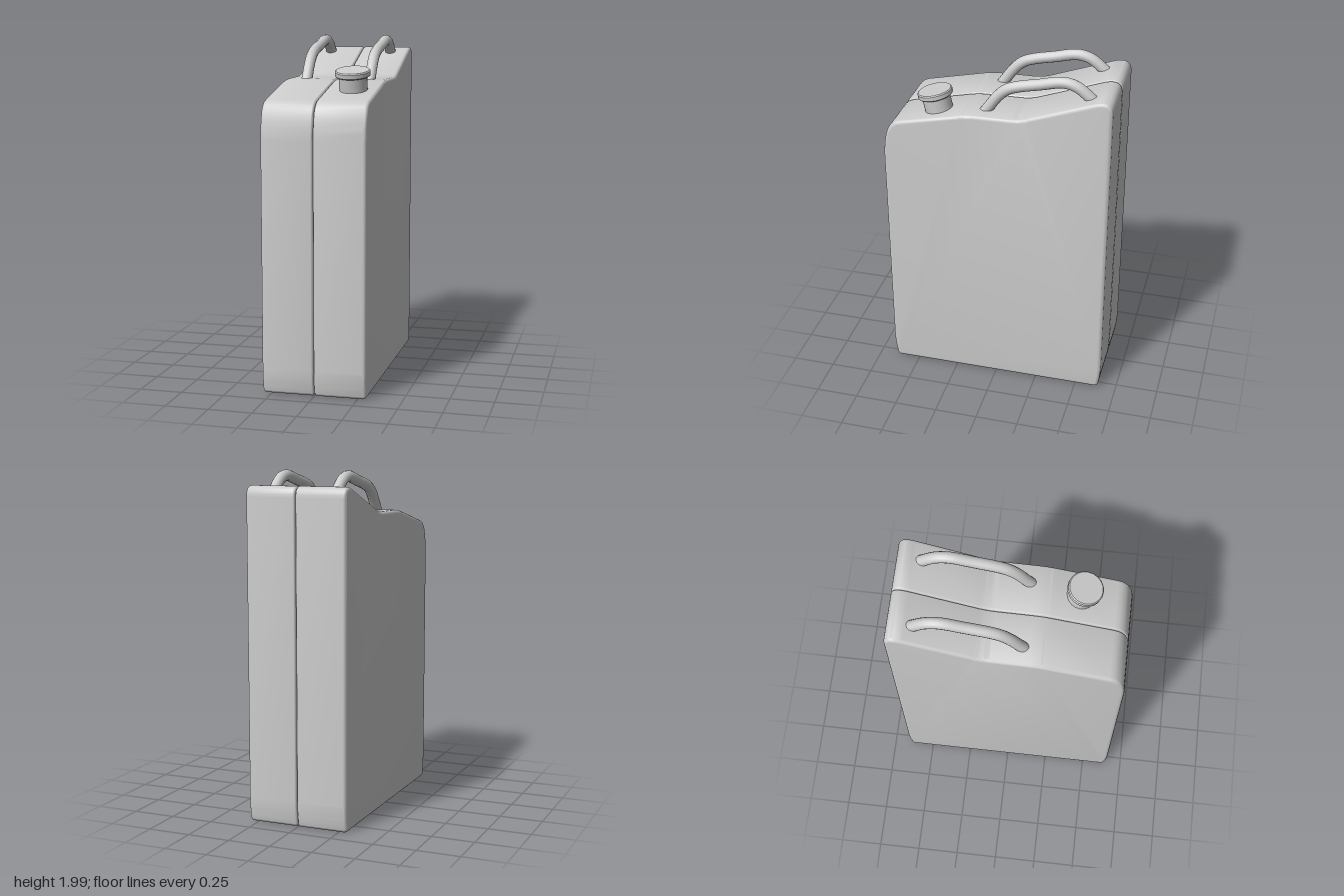
import * as THREE from 'three';
import { toCreasedNormals } from 'three/addons/utils/BufferGeometryUtils.js';

const material = new THREE.MeshStandardMaterial({ color: 0xcccccc });
const BEVEL = 0.02, HALF_WIDTH = 0.3;

function addMesh(parent, name, geometry) {
  const mesh = new THREE.Mesh(geometry, material);
  mesh.name = name;
  parent.add(mesh);
  return mesh;
}

// Side outline of the can: shape x is the model's z
function bodyProfile() {
  const s = new THREE.Shape();
  s.moveTo(-0.62, 0.005);
  s.lineTo(0.62, 0.005);
  s.quadraticCurveTo(0.64, 0.005, 0.643, 0.03);
  s.quadraticCurveTo(0.657, 0.1, 0.657, 0.16);
  s.lineTo(0.657, 1.45);
  s.bezierCurveTo(0.65, 1.58, 0.63, 1.65, 0.56, 1.668);
  s.lineTo(0.22, 1.744);
  s.quadraticCurveTo(0.17, 1.756, 0.11, 1.757);
  s.lineTo(-0.09, 1.76);
  s.quadraticCurveTo(-0.14, 1.761, -0.19, 1.78);
  s.lineTo(-0.55, 1.911);
  s.bezierCurveTo(-0.61, 1.932, -0.655, 1.925, -0.655, 1.86);
  s.lineTo(-0.655, 0.16);
  s.quadraticCurveTo(-0.655, 0.1, -0.643, 0.03);
  s.quadraticCurveTo(-0.64, 0.005, -0.62, 0.005);
  return s;
}

// One pressed half of the body; the tighter inner bevel forms the centre seam
function bodyHalf(side) {
  const g = new THREE.ExtrudeGeometry(bodyProfile(), {
    depth: HALF_WIDTH - 2 * BEVEL, bevelThickness: BEVEL, bevelSize: BEVEL,
    bevelOffset: -BEVEL, bevelSegments: 4, curveSegments: 10,
  });
  g.rotateY(-Math.PI / 2);
  g.translate(side > 0 ? HALF_WIDTH - BEVEL : -BEVEL, 0, 0);
  const p = g.attributes.position;
  for (let i = 0; i < p.count; i++) {
    if (Math.abs(p.getX(i)) < BEVEL + 0.001) p.setX(i, p.getX(i) * 0.6);
  }
  return toCreasedNormals(g, 0.7);
}

// Bent tube handle, both ends sunk into the top
function handleGeometry() {
  const path = [
    [1.73, 0.09], [1.77, 0.062], [1.853, 0.0], [1.893, -0.05], [1.915, -0.11],
    [1.942, -0.23], [1.968, -0.345], [1.965, -0.4], [1.945, -0.45], [1.88, -0.53],
  ].map(([y, z]) => new THREE.Vector3(0, y, z));
  return new THREE.TubeGeometry(new THREE.CatmullRomCurve3(path), 40, 0.032, 14);
}

function lathe(points) {
  const g = new THREE.LatheGeometry(points.map(([r, y]) => new THREE.Vector2(r, y)), 20);
  return toCreasedNormals(g, 0.6);
}

export function createModel() {
  const model = new THREE.Group();
  model.name = 'fuelCan';

  for (const side of [1, -1]) {
    const label = side > 0 ? 'left' : 'right';
    addMesh(model, label + 'BodyHalf', bodyHalf(side));
    addMesh(model, label + 'Handle', handleGeometry()).position.x = 0.19 * side;
  }

  // Filler neck and lid, square to the sloping shoulder
  const filler = new THREE.Group();
  filler.name = 'filler';
  addMesh(filler, 'neck', lathe([[0.08, -0.03], [0.08, 0.1]]));
  addMesh(filler, 'lid', lathe([
    [0, 0.092], [0.094, 0.092], [0.1, 0.098], [0.1, 0.121], [0.094, 0.127], [0, 0.127],
  ]));
  filler.position.set(0.16, 1.7, 0.358);
  filler.rotation.x = 0.21;
  model.add(filler);

  return model;
}
